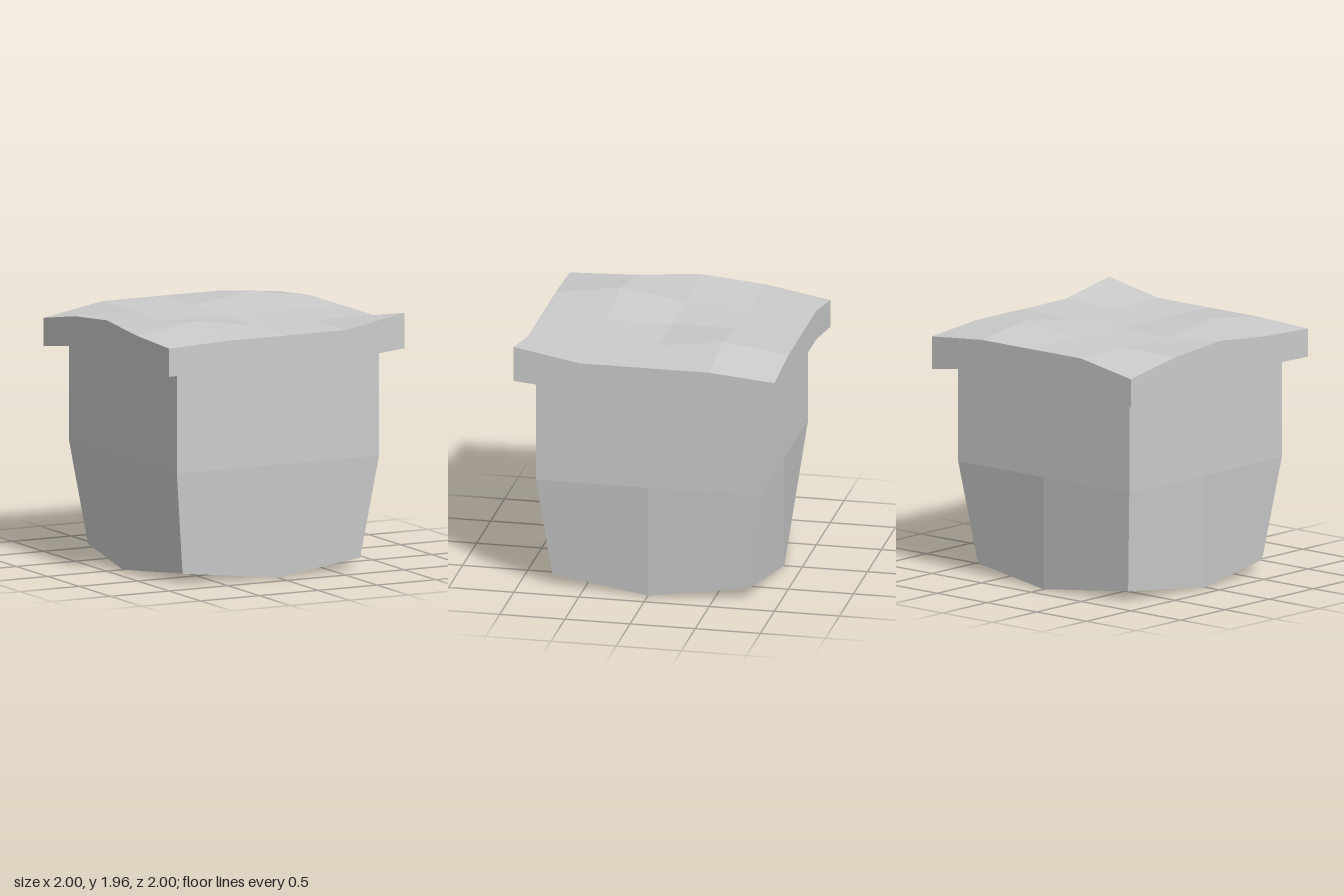
import * as THREE from 'three';

// One averaged normal per quad: each quad is a run of six vertices
function facetQuads(geometry) {
  const flat = geometry.toNonIndexed();
  const pos = flat.attributes.position;
  const v = (i) => new THREE.Vector3().fromBufferAttribute(pos, i);
  const cross = (i) => v(i + 1).sub(v(i)).cross(v(i + 2).sub(v(i)));
  for (let i = 0; i < pos.count; i += 6) {
    const n = cross(i).add(cross(i + 3)).normalize();
    for (let k = 0; k < 6; k++) flat.attributes.normal.setXYZ(i + k, n.x, n.y, n.z);
  }
  return flat;
}

// Box whose vertices are moved by a rule
function shapedBox(name, size, segments, centreY, rule) {
  const geometry = new THREE.BoxGeometry(...size, ...segments);
  geometry.translate(0, centreY, 0);
  const pos = geometry.attributes.position;
  const p = new THREE.Vector3();
  for (let i = 0; i < pos.count; i++) {
    p.fromBufferAttribute(pos, i);
    rule(p);
    pos.setXYZ(i, p.x, p.y, p.z);
  }
  const mesh = new THREE.Mesh(facetQuads(geometry), new THREE.MeshStandardMaterial({ color: 0xcccccc }));
  mesh.name = name;
  return mesh;
}

export function createModel() {
  const group = new THREE.Group();
  group.name = 'groundBlock';

  // Body: a cube with its four bottom corners pulled in
  group.add(shapedBox('body', [1.72, 1.72, 1.72], [2, 2, 2], 0.86, (p) => {
    if (p.y < 0.01 && Math.abs(p.x) > 0.5 && Math.abs(p.z) > 0.5) {
      p.set(Math.sign(p.x) * 0.755, 0.075, Math.sign(p.z) * 0.755);
    }
  }));

  // Uneven top slab: heights that differ from the flat grid, keyed by "x,z"
  const topHeights = {
    '1,1': 1.957, '-1,1': 1.845, '1,-1': 1.82, '-1,-1': 1.777,
    '-1,0': 1.91, '-0.5,0.5': 1.94, '0.5,-0.5': 1.937,
  };
  const undersideHeights = {
    '1,1': 1.686, '-1,1': 1.63, '1,-1': 1.57, '-1,-1': 1.562,
    '-1,0': 1.69, '1,0': 1.62,
  };
  group.add(shapedBox('topSlab', [2, 0.225, 2], [4, 1, 4], 1.7525, (p) => {
    const heights = p.y > 1.75 ? topHeights : undersideHeights;
    p.y = heights[`${p.x},${p.z}`] ?? p.y;
  }));

  return group;
}
